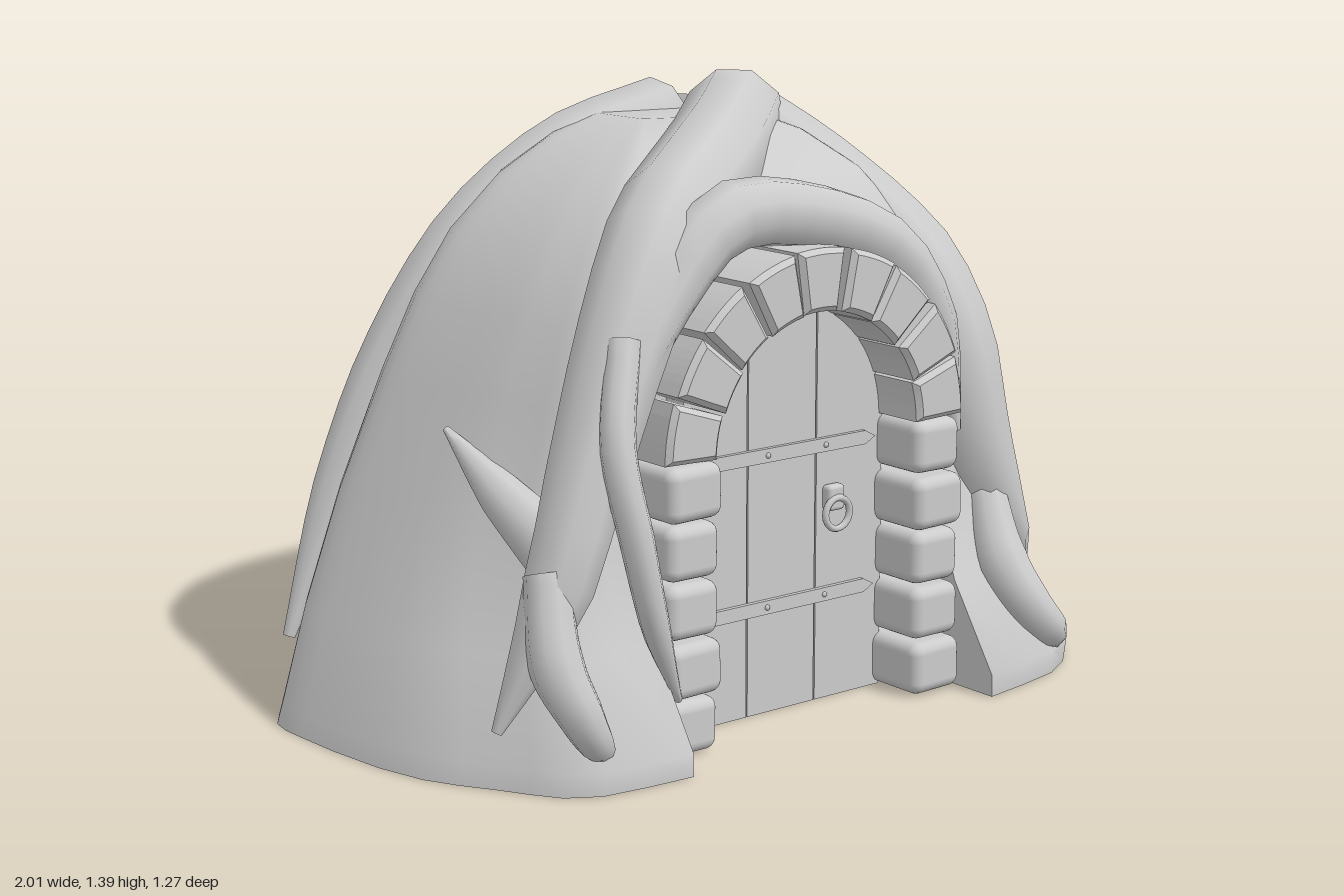
import * as THREE from 'three';
import { toCreasedNormals } from 'three/addons/utils/BufferGeometryUtils.js';
import { RoundedBoxGeometry } from 'three/addons/geometries/RoundedBoxGeometry.js';

const V = (x, y, z) => new THREE.Vector3(x, y, z);
const lerp = THREE.MathUtils.lerp;
const clay = new THREE.MeshStandardMaterial({ color: 0xcccccc });
clay.name = 'clay grey';

const DOOR_X = -0.045, SPRING = 0.645, INNER = 0.29, OUTER = 0.43;

// Skin a stack of equal-length closed rings, with optional end caps
function loft(rings, capStart, capEnd, crease = 0.7) {
  const n = rings[0].length, pos = [], idx = [];
  rings.forEach(r => r.forEach(p => pos.push(p.x, p.y, p.z)));
  for (let i = 0; i < rings.length - 1; i++) {
    for (let j = 0; j < n; j++) {
      const a = i * n + j, b = i * n + (j + 1) % n;
      idx.push(a, b, a + n, b, b + n, a + n);
    }
  }
  const cap = (ring, base, flip) => {
    const c = V(0, 0, 0);
    ring.forEach(p => c.addScaledVector(p, 1 / n));
    const k = pos.length / 3;
    pos.push(c.x, c.y, c.z);
    for (let j = 0; j < n; j++) {
      const a = base + j, b = base + (j + 1) % n;
      if (flip) idx.push(k, b, a); else idx.push(k, a, b);
    }
  };
  if (capStart) cap(rings[0], 0, true);
  if (capEnd) cap(rings[rings.length - 1], (rings.length - 1) * n, false);
  const g = new THREE.BufferGeometry();
  g.setAttribute('position', new THREE.Float32BufferAttribute(pos, 3));
  g.setIndex(idx);
  return toCreasedNormals(g, crease);
}

// Tapering root through [x, y, z, radius] stations
function rootGeometry(stations, steps = 18, sides = 9) {
  const curve = new THREE.CatmullRomCurve3(stations.map(s => V(s[0], s[1], s[2])));
  const frames = curve.computeFrenetFrames(steps, false);
  const rings = [];
  for (let i = 0; i <= steps; i++) {
    const u = i / steps, c = curve.getPointAt(u);
    const f = curve.getUtoTmapping(u) * (stations.length - 1);
    const k = Math.min(Math.floor(f), stations.length - 2);
    const r = lerp(stations[k][3], stations[k + 1][3], f - k);
    const ring = [];
    for (let j = 0; j < sides; j++) {
      const a = j / sides * Math.PI * 2;
      ring.push(c.clone().addScaledVector(frames.normals[i], Math.cos(a) * r)
        .addScaledVector(frames.binormals[i], Math.sin(a) * r));
    }
    rings.push(ring);
  }
  return loft(rings, true, true, 0.9);
}

// Ground outline from the right of the doorway round the back to its left
const outline = new THREE.CatmullRomCurve3([
  [0.39, 0.63], [0.68, 0.57], [0.85, 0.4], [0.98, 0.1], [1, -0.05], [0.87, -0.35], [0.73, -0.49],
  [0.5, -0.58], [0.25, -0.635], [-0.05, -0.64], [-0.4, -0.6], [-0.65, -0.5], [-0.85, -0.37],
  [-0.99, -0.24], [-1, -0.1], [-0.95, 0.25], [-0.85, 0.43], [-0.74, 0.58], [-0.48, 0.62],
].map(p => V(p[0], 0, p[1]))).getPoints(44);

// One mound section: height, left and right reach, back and front depth
function section([y, left, right, back, front]) {
  const ring = outline.map(p => {
    const reach = p.x > 0 ? right : left;
    const edge = p.x > 0 ? 0.39 : 0.48;
    const notch = Math.min(edge, 0.78 * reach);
    const fromDoor = notch + (Math.abs(p.x) - edge) * (reach - notch) / (1 - edge);
    const w = THREE.MathUtils.smoothstep(p.z, 0, 0.35);
    const x = Math.sign(p.x) * lerp(Math.abs(p.x) * reach, fromDoor, w);
    return V(x, y, lerp(back, front, (p.z + 0.64) / 1.27));
  });
  const a = ring[ring.length - 1], b = ring[0], z = Math.min(0.33, front);
  ring.push(V(a.x, y, Math.min(z, a.z)), V((a.x + b.x) / 2, y, Math.min(0.33, front + 0.05)),
    V(b.x, y, Math.min(z, b.z)));
  return ring;
}

export function createModel() {
  const model = new THREE.Group();
  model.name = 'rootDwelling';
  const add = (name, geometry, x = 0, y = 0, z = 0, parent = model) => {
    const m = new THREE.Mesh(geometry, clay);
    m.name = name;
    m.position.set(x, y, z);
    parent.add(m);
    return m;
  };
  const group = name => {
    const g = new THREE.Group();
    g.name = name;
    model.add(g);
    return g;
  };

  // Mound with a recess at the front for the doorway
  const rings = [
    [0, 1, 0.985, -0.64, 0.63], [0.05, 0.985, 1, -0.637, 0.63], [0.25, 0.9, 0.92, -0.625, 0.5],
    [0.5, 0.79, 0.81, -0.61, 0.41], [0.75, 0.67, 0.69, -0.59, 0.37], [0.92, 0.58, 0.61, -0.565, 0.335],
    [1.06, 0.48, 0.53, -0.53, 0.28], [1.18, 0.35, 0.45, -0.46, 0.17],
    [1.26, 0.2, 0.37, -0.39, 0.04], [1.3, 0.06, 0.3, -0.33, -0.1],
  ].map(section);
  add('mound', loft(rings, false, true));

  // Underside with the opening into the hollow room, whose walls face inward
  const corners = [[0.26, 0.31], [-0.35, 0.31], [-0.35, -0.07], [0.26, -0.07]];
  const base = new THREE.Shape(rings[0].map(p => new THREE.Vector2(p.x, p.z)));
  base.holes.push(new THREE.Path(corners.map(p => new THREE.Vector2(...p))));
  add('underside', new THREE.ShapeGeometry(base).rotateX(Math.PI / 2));
  add('room', loft([0, 0.9].map(y => corners.map(p => V(p[0], y, p[1]))), false, true));

  // Arched door made of three planks
  const door = group('door');
  const slab = (x0, x1, r) => {
    const s = new THREE.Shape();
    s.moveTo(x0, 0);
    s.lineTo(x1, 0);
    for (let i = 0; i <= 10; i++) {
      const x = lerp(x1, x0, i / 10);
      s.lineTo(x, SPRING + Math.sqrt(Math.max(0, r * r - x * x)));
    }
    return new THREE.ExtrudeGeometry(s, { depth: 0.06, bevelEnabled: false });
  };
  [[-0.3, -0.102], [-0.098, 0.098], [0.102, 0.3]].forEach(([a, b]) =>
    add('plank', slab(a, b, 0.3), DOOR_X, 0, 0.33, door));

  // Pointed iron straps with rivets, and the pull ring
  for (const y of [0.6, 0.25]) {
    const s = new THREE.Shape([[-0.26, -0.016], [0.24, -0.016], [0.27, 0], [0.24, 0.016], [-0.26, 0.016]]
      .map(p => new THREE.Vector2(...p)));
    add('strap', new THREE.ExtrudeGeometry(s, { depth: 0.012, bevelEnabled: false }), DOOR_X, y, 0.389, door);
    for (const x of [-0.22, -0.05, 0.12])
      add('rivet', new THREE.SphereGeometry(0.007, 8, 6), DOOR_X + x, y, 0.4, door);
  }
  add('ringMount', new RoundedBoxGeometry(0.05, 0.06, 0.03, 2, 0.01), 0.1, 0.475, 0.4, door);
  add('pullRing', new THREE.TorusGeometry(0.036, 0.008, 8, 20), 0.1, 0.44, 0.415, door);

  // Stacked doorpost stones
  const posts = group('doorposts');
  for (const side of [-1, 1]) {
    for (let i = 0; i < 5; i++) {
      const wobble = Math.sin(i * 2.3 + side) * 0.006;
      const stone = add('postStone', new RoundedBoxGeometry(0.142 + wobble, 0.122, 0.21, 3, 0.027),
        DOOR_X + side * 0.355, 0.065 + i * 0.13, 0.425 + wobble, posts);
      stone.rotation.z = wobble * 3;
    }
  }

  // Wedge stones of the arch
  const arch = group('archStones');
  const count = 9, step = Math.PI / count;
  for (let i = 0; i < count; i++) {
    const s = new THREE.Shape(), h = step / 2 - 0.045;
    s.absarc(0, 0, OUTER - 0.012, -h, h, false);
    s.absarc(0, 0, INNER + 0.012, h * 0.95, -h * 0.95, true);
    s.closePath();
    const g = new THREE.ExtrudeGeometry(s, {
      depth: 0.22, curveSegments: 3, bevelThickness: 0.012, bevelSize: 0.012, bevelSegments: 1,
    });
    add('archStone', g, DOOR_X, SPRING, 0.295 + (i % 2) * 0.008, arch).rotation.z = (i + 0.5) * step;
  }

  // Roots draped over the mound
  const roots = {
    leftFrontRoot: [[0.3, 1.27, -0.2, 0.125], [0.08, 1.23, 0.01, 0.125], [-0.12, 1.19, 0.18, 0.125],
      [-0.34, 1.11, 0.33, 0.12], [-0.49, 0.92, 0.4, 0.105], [-0.61, 0.68, 0.44, 0.09],
      [-0.73, 0.4, 0.47, 0.075], [-0.86, 0.13, 0.44, 0.012]],
    rightFrontRoot: [[0.33, 1.23, -0.24, 0.135], [0.4, 1.115, 0, 0.125], [0.47, 0.94, 0.23, 0.13],
      [0.51, 0.78, 0.33, 0.115], [0.54, 0.6, 0.37, 0.1], [0.6, 0.42, 0.39, 0.08],
      [0.68, 0.29, 0.38, 0.055], [0.78, 0.17, 0.33, 0.012]],
    rightBackRoot: [[0.24, 1.22, -0.33, 0.11], [0.41, 1.15, -0.4, 0.105], [0.52, 0.98, -0.455, 0.095],
      [0.595, 0.75, -0.475, 0.085], [0.67, 0.48, -0.47, 0.06], [0.755, 0.18, -0.44, 0.01]],
    leftBackRoot: [[0.19, 1.24, -0.33, 0.13], [-0.1, 1.17, -0.34, 0.125], [-0.35, 1.01, -0.37, 0.11],
      [-0.55, 0.75, -0.42, 0.08], [-0.7, 0.45, -0.445, 0.055], [-0.83, 0.12, -0.45, 0.015]],
    archRoot: [[-0.6, 0.7, 0.46, 0.04], [-0.51, 0.86, 0.45, 0.055], [-0.4, 1.0, 0.43, 0.065],
      [-0.25, 1.14, 0.42, 0.08], [0, 1.13, 0.42, 0.075], [0.22, 1.04, 0.44, 0.07],
      [0.35, 0.86, 0.45, 0.06], [0.41, 0.6, 0.47, 0.015]],
    hangingRoot: [[-0.54, 0.92, 0.46, 0.04], [-0.61, 0.72, 0.53, 0.04], [-0.59, 0.52, 0.57, 0.038],
      [-0.54, 0.32, 0.57, 0.032], [-0.45, 0.14, 0.53, 0.008]],
    leftHook: [[-0.75, 0.46, 0.47, 0.05], [-0.77, 0.28, 0.53, 0.06], [-0.74, 0.18, 0.57, 0.05],
      [-0.7, 0.11, 0.57, 0.04], [-0.65, 0.065, 0.55, 0.015]],
    rightHook: [[0.57, 0.42, 0.41, 0.05], [0.55, 0.27, 0.49, 0.065], [0.58, 0.17, 0.56, 0.052],
      [0.64, 0.1, 0.57, 0.043], [0.68, 0.055, 0.54, 0.018]],
    leftThorn: [[-0.68, 0.47, 0.43, 0.075], [-0.69, 0.57, 0.22, 0.05], [-0.7, 0.68, 0.03, 0.008]],
    rightThorn: [[0.57, 0.5, 0.37, 0.06], [0.63, 0.49, 0.31, 0.045], [0.66, 0.48, 0.24, 0.008]],
  };
  for (const [name, stations] of Object.entries(roots)) add(name, rootGeometry(stations));
  return model;
}
